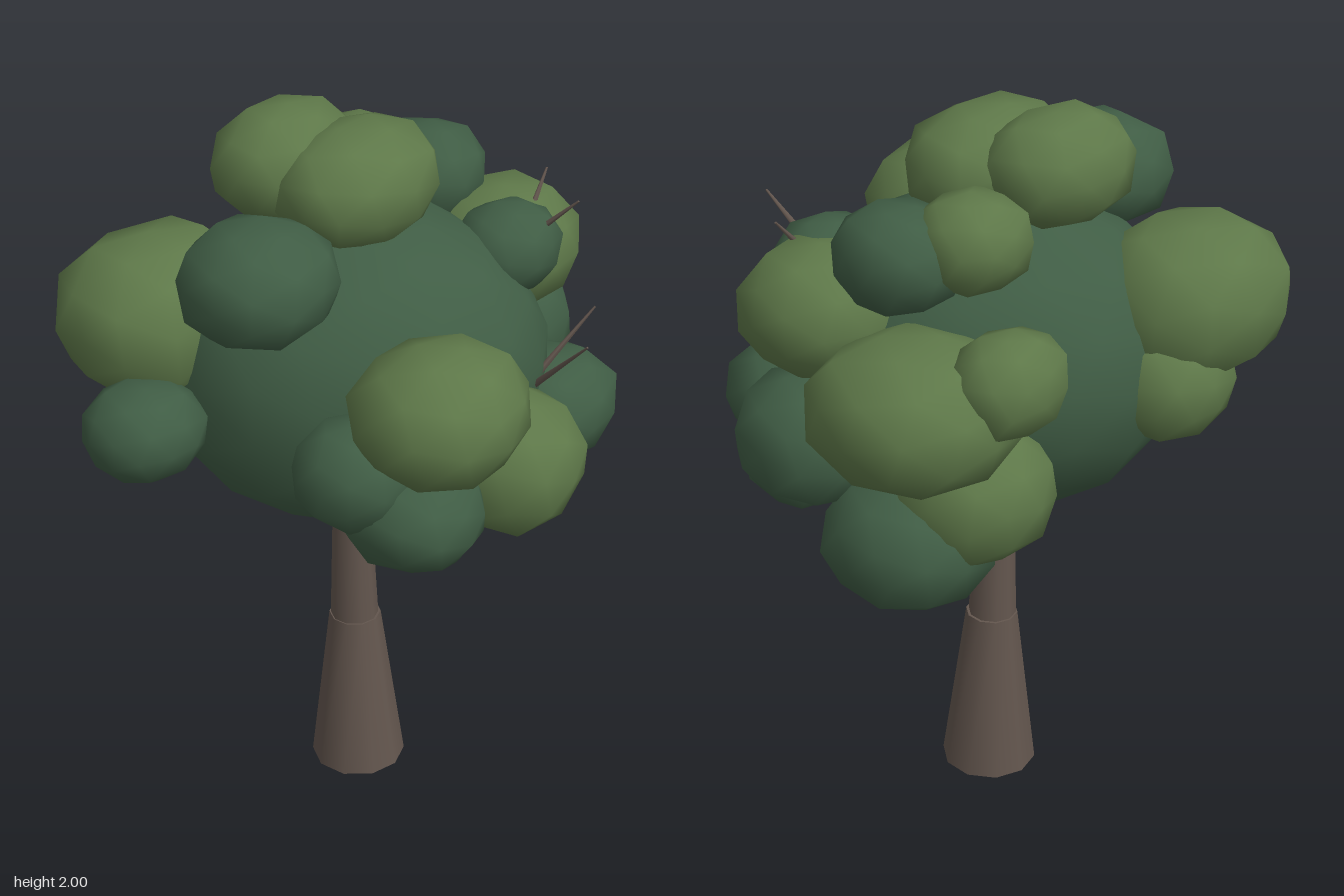
import * as THREE from 'three';
import { mergeVertices } from 'three/addons/utils/BufferGeometryUtils.js';

const mat = (name, color) => {
  const m = new THREE.MeshStandardMaterial({ color });
  m.name = name;
  return m;
};

// Small seeded generator for the uneven clump outlines
function seeded(seed) {
  let s = seed * 7919 + 17;
  return () => (s = (s * 16807) % 2147483647) / 2147483647;
}

// Low-poly leaf clump: a superellipsoid (power 2 is round, higher is blockier), slightly uneven
function clumpGeometry(radii, detail, seed, jitter, power) {
  const ico = new THREE.IcosahedronGeometry(1, detail);
  ico.deleteAttribute('normal');
  ico.deleteAttribute('uv');
  const g = mergeVertices(ico, 1e-4);
  g.rotateY(seed * 1.3);
  g.rotateX(seed * 0.7);
  const rand = seeded(seed);
  const p = g.attributes.position;
  const v = new THREE.Vector3();
  for (let i = 0; i < p.count; i++) {
    v.fromBufferAttribute(p, i);
    const norm = v.toArray().reduce((sum, c) => sum + Math.abs(c) ** power, 0) ** (1 / power);
    v.multiplyScalar((1.025 + (rand() - 0.5) * jitter) / norm);
    p.setXYZ(i, v.x * radii[0], v.y * radii[1], v.z * radii[2]);
  }
  return g;
}

// Tapered round limb between two points
function limb(name, a, b, r0, r1, sides, material) {
  const from = new THREE.Vector3(...a), to = new THREE.Vector3(...b);
  const dir = to.clone().sub(from);
  const mesh = new THREE.Mesh(new THREE.CylinderGeometry(r1, r0, dir.length(), sides), material);
  mesh.position.copy(from).add(to).multiplyScalar(0.5);
  mesh.quaternion.setFromUnitVectors(new THREE.Vector3(0, 1, 0), dir.normalize());
  mesh.name = name;
  return mesh;
}

export function createModel() {
  const tree = new THREE.Group();
  tree.name = 'tree';
  const bark = mat('bark', 0x63564e);
  const dark = mat('darkLeaves', 0x405d45);
  const light = mat('lightLeaves', 0x5e7849);

  // Trunk in two tapered sections
  tree.add(limb('lowerTrunk', [0.003, 0.006, -0.03], [0.002, 0.49, -0.04], 0.132, 0.072, 10, bark));
  tree.add(limb('upperTrunk', [0, 0.48, -0.04], [-0.015, 1.0, -0.04], 0.067, 0.047, 10, bark));

  // Main crown, longer along one diagonal, with a flattened underside
  const core = clumpGeometry([0.51, 0.43, 0.435], 2, 3, 0.03, 2);
  const p = core.attributes.position;
  for (let i = 0; i < p.count; i++) p.setY(i, Math.max(p.getY(i), -0.415));
  core.computeVertexNormals();
  const crown = new THREE.Mesh(core, dark);
  crown.position.set(0, 1.315, -0.04);
  crown.rotation.y = -Math.PI / 4;
  crown.name = 'crown';
  tree.add(crown);

  // Leaf clumps: centre, then radii
  const lightClumps = [
    [0, 1.83, -0.03, 0.23, 0.145, 0.18],
    [-0.05, 1.86, -0.22, 0.2, 0.14, 0.16],
    [-0.32, 1.48, 0.46, 0.22, 0.165, 0.2],
    [-0.02, 1.2, 0.45, 0.19, 0.175, 0.205],
    [-0.335, 1.48, -0.425, 0.265, 0.2, 0.23],
    [-0.2, 1.3, -0.46, 0.17, 0.15, 0.17],
    [0.48, 1.38, -0.25, 0.25, 0.18, 0.255],
    [0.44, 1.52, 0.12, 0.21, 0.165, 0.2],
    [0.245, 1.74, -0.21, 0.145, 0.12, 0.14],
    [0.35, 1.47, -0.44, 0.15, 0.13, 0.125],
    [0.36, 1.14, -0.33, 0.2, 0.17, 0.19],
  ];
  const darkClumps = [
    [-0.38, 1.7, -0.045, 0.2, 0.145, 0.185],
    [-0.59, 1.3, -0.26, 0.15, 0.12, 0.145],
    [-0.34, 1.18, 0.4, 0.17, 0.13, 0.17],
    [-0.42, 1.29, 0.28, 0.15, 0.13, 0.15],
    [0.33, 1.16, 0.36, 0.19, 0.14, 0.17],
    [0.55, 1.22, 0.06, 0.185, 0.165, 0.185],
    [0.49, 1.01, -0.23, 0.2, 0.16, 0.21],
    [0.4, 1.04, 0.25, 0.16, 0.14, 0.15],
    [0.335, 1.58, 0.21, 0.145, 0.115, 0.13],
    [0.37, 1.7, -0.085, 0.155, 0.13, 0.16],
  ];
  const addClumps = (list, name, material, seed) => list.forEach(([x, y, z, ...r], i) => {
    const g = clumpGeometry(r, 1, seed + i, 0.06, 2.5);
    g.computeVertexNormals();
    const mesh = new THREE.Mesh(g, material);
    mesh.position.set(x, y, z);
    mesh.name = name + (i + 1);
    tree.add(mesh);
  });
  addClumps(lightClumps, 'lightClump', light, 11);
  addClumps(darkClumps, 'darkClump', dark, 41);

  // Bare twigs poking out of the leaves
  [
    [[0.18, 1.26, 0.37], [0.155, 1.48, 0.58]],
    [[0.18, 1.26, 0.37], [0.35, 1.48, 0.48]],
    [[0.35, 1.6, 0.25], [0.39, 1.74, 0.39]],
    [[0.38, 1.6, 0.23], [0.51, 1.74, 0.215]],
  ].forEach(([a, b], i) => tree.add(limb('twig' + (i + 1), a, b, 0.012, 0.003, 5, bark)));

  return tree;
}
